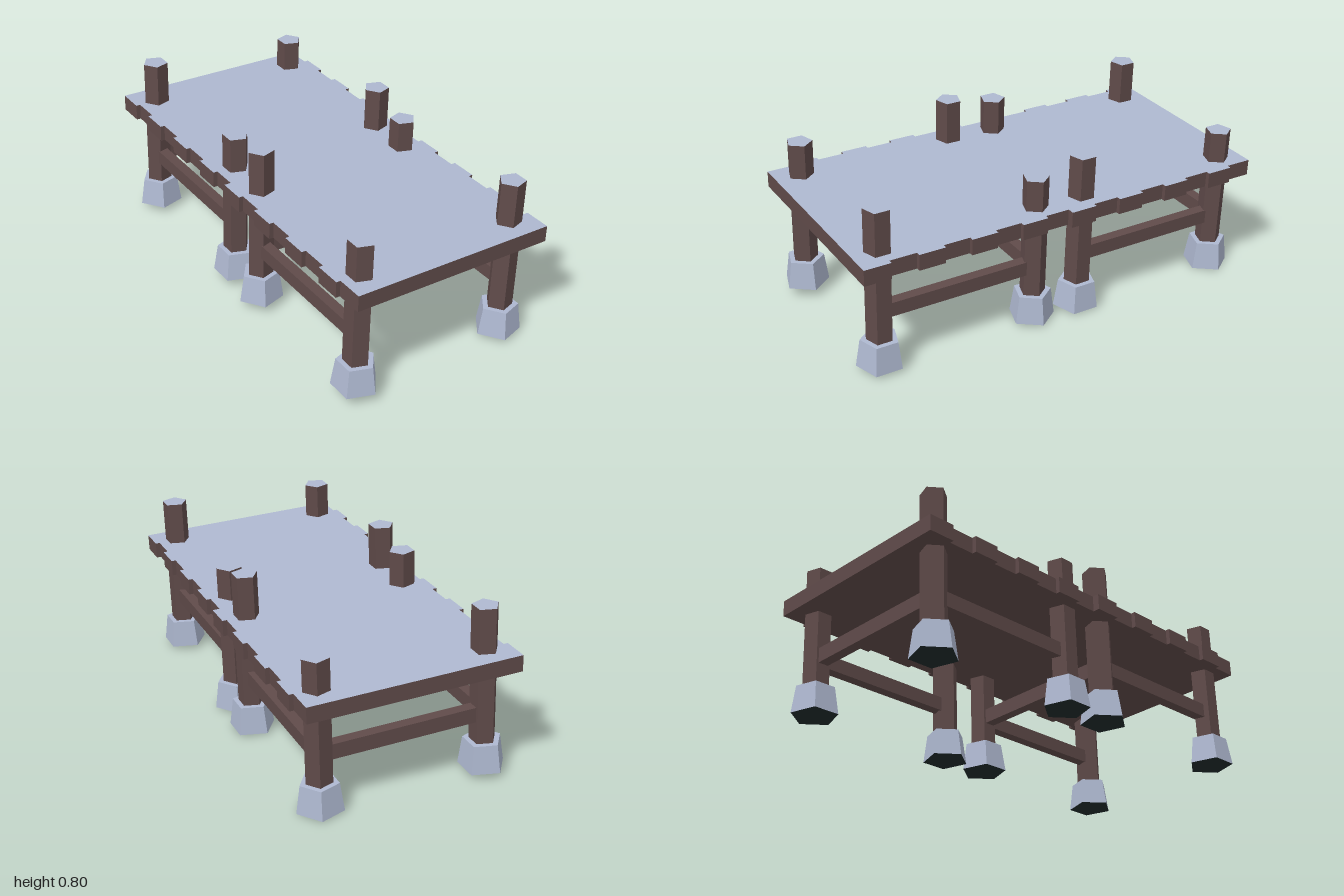
import * as THREE from 'three';

const wood = new THREE.MeshStandardMaterial({ color: 0x604b4a });
wood.name = 'brown wood';
const pale = new THREE.MeshStandardMaterial({ color: 0xaeb8d0 });
pale.name = 'pale blue grey';
const dark = new THREE.MeshStandardMaterial({ color: 0x202b2c });
dark.name = 'dark underside';

const BASE = 0.023, FOOT_H = 0.13, DECK_TOP = 0.58, DECK_H = 0.075;
const POST_X = 0.383, POST_Z = 0.38, RAIL_Y = 0.29;

function add(parent, name, geometry, material, x, y, z) {
  const mesh = new THREE.Mesh(geometry, material);
  mesh.name = name;
  mesh.position.set(x, y, z);
  parent.add(mesh);
}

// Five-sided flat-shaded prism; materials go to side, top, bottom
function prism(rTop, rBottom, height, turn) {
  const source = new THREE.CylinderGeometry(rTop, rBottom, height, 5, 1, false, turn);
  const flat = source.toNonIndexed();
  flat.computeVertexNormals();
  return flat;
}

// A post standing in a tapered stone footing
function addPost(parent, side, end, top, turn) {
  const x = side * POST_X, z = end * POST_Z;
  const height = top - BASE - 0.03;
  add(parent, 'post', prism(0.06, 0.06, height, turn), [wood, pale, wood], x, top - height / 2, z);
  add(parent, 'footing', prism(0.087, 0.106, FOOT_H, turn), [pale, pale, dark], x, BASE + FOOT_H / 2, z);
}

function makeSection(name) {
  const section = new THREE.Group();
  section.name = name;

  // Eight deck planks, staggered sideways, with pale tops
  for (let i = 0; i < 8; i++) {
    const shift = i % 2 ? 0.011 : -0.009;
    add(section, 'deckPlank', new THREE.BoxGeometry(0.974, DECK_H, 0.125),
      [wood, wood, pale, wood, wood, wood],
      shift, DECK_TOP - DECK_H / 2, -0.4375 + i * 0.125);
  }

  // Posts of uneven height: side, end, top, turn
  const q = Math.PI / 2;
  addPost(section, 1, 1, 0.782, -q);
  addPost(section, 1, -1, 0.725, q);
  addPost(section, -1, 1, 0.744, q);
  addPost(section, -1, -1, 0.784, -q);

  // Side rails, and a cross rail at the rear end only
  for (const side of [-1, 1]) {
    add(section, 'sideRail', new THREE.BoxGeometry(0.05, 0.067, 2 * POST_Z - 0.06), wood, side * POST_X, RAIL_Y, 0);
  }
  add(section, 'crossRail', new THREE.BoxGeometry(2 * POST_X - 0.06, 0.07, 0.05), wood, 0, RAIL_Y, -POST_Z);
  return section;
}

export function createModel() {
  const model = new THREE.Group();
  model.name = 'dock';

  // The whole dock leans slightly about the middle of its deck
  const lean = new THREE.Group();
  lean.name = 'leaningDock';
  lean.position.y = 0.55;
  lean.rotation.set(-0.0075, 0.0175, -0.035);
  model.add(lean);

  const front = makeSection('frontSection');
  front.position.set(-0.006, -0.55, 0.496);
  const back = makeSection('backSection');
  back.position.set(0.006, -0.55, -0.496);
  lean.add(front, back);
  return model;
}
